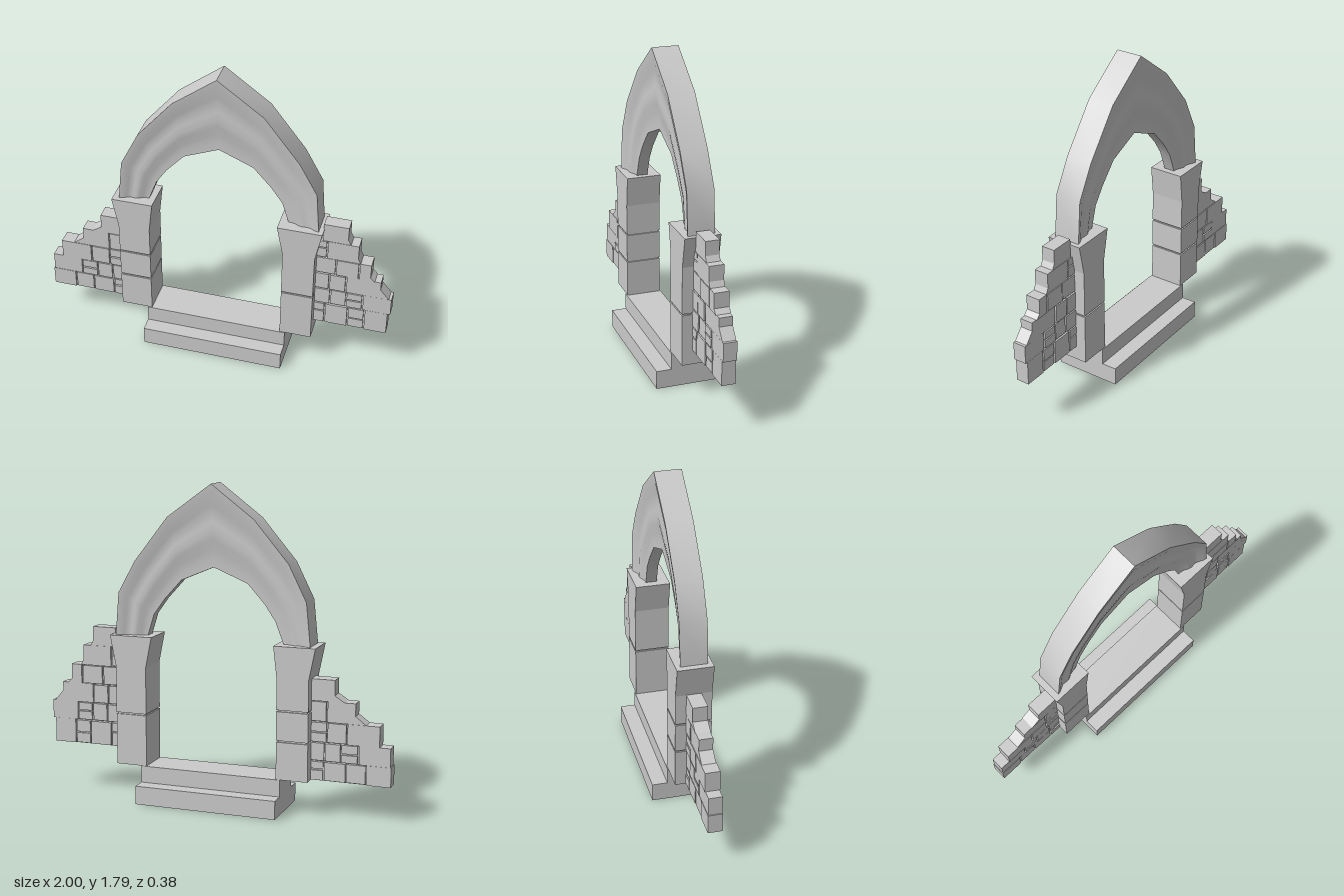
import * as THREE from 'three';
import { toCreasedNormals } from 'three/addons/utils/BufferGeometryUtils.js';

const stone = new THREE.MeshStandardMaterial({ color: 0xcccccc });

function add(parent, name, geometry) {
  const mesh = new THREE.Mesh(geometry, stone);
  mesh.name = name;
  parent.add(mesh);
  return mesh;
}

// Box given by its limits, centred on z = 0
function block(parent, name, x0, x1, y0, y1, depth) {
  const mesh = add(parent, name, new THREE.BoxGeometry(x1 - x0, y1 - y0, depth));
  mesh.position.set((x0 + x1) / 2, (y0 + y1) / 2, 0);
}

// Outline in x and y, extruded symmetrically along z
function slab(parent, name, points, depth) {
  const shape = new THREE.Shape(points.map(([x, y]) => new THREE.Vector2(x, y)));
  const geometry = new THREE.ExtrudeGeometry(shape, { depth, bevelEnabled: false });
  add(parent, name, geometry.translate(0, 0, -depth / 2));
}

function seeded(seed) {
  return () => (seed = (seed * 16807) % 2147483647) / 2147483647;
}

// Column of stacked stones with thin recessed joints, topped by a flared capital
function createColumn(name, x0, x1, joints, capX0, capX1) {
  const group = new THREE.Group();
  group.name = name;
  for (let i = 0; i < joints.length - 1; i++) {
    block(group, 'columnStone', x0, x1, joints[i], joints[i + 1] - 0.009, 0.2);
  }
  block(group, 'columnCore', x0 + 0.008, x1 - 0.008, 0.21, 0.8, 0.184);
  slab(group, 'capital', [[x0, 0.765], [x1, 0.765], [capX1, 0.94], [capX0, 0.94]], 0.2);
  return group;
}

// Pointed arch: a moulded section carried along matching outer and inner curves
function archGeometry() {
  const outer = [[-0.555, 0.93], [-0.53, 1.18], [-0.43, 1.38], [-0.235, 1.61], [0.01, 1.795],
    [0.265, 1.61], [0.46, 1.36], [0.56, 1.18], [0.58, 0.93]];
  const inner = [[-0.395, 0.93], [-0.345, 1.06], [-0.285, 1.15], [-0.185, 1.26], [0.01, 1.34],
    [0.2, 1.26], [0.3, 1.15], [0.365, 1.06], [0.405, 0.93]];
  // Position from outer to inner edge, and half depth there
  const face = [[0, 0.075], [0.12, 0.07], [0.25, 0.058], [0.36, 0.051], [0.45, 0.052],
    [0.56, 0.054], [0.66, 0.049], [0.78, 0.038], [0.9, 0.033], [1, 0.032]];
  const section = [...face, ...face.map(([t, z]) => [t, -z]).reverse()];
  const n = section.length;
  const positions = [];
  const index = [];
  outer.forEach(([ox, oy], i) => {
    const [ix, iy] = inner[i];
    section.forEach(([t, z], j) => {
      positions.push(ox + (ix - ox) * t, oy + (iy - oy) * t, z);
      if (i === outer.length - 1) return;
      const a = i * n + j;
      const b = i * n + (j + 1) % n;
      index.push(a, b, a + n, b, b + n, a + n);
    });
  });
  const geometry = new THREE.BufferGeometry();
  geometry.setAttribute('position', new THREE.Float32BufferAttribute(positions, 3));
  geometry.setIndex(index);
  return toCreasedNormals(geometry, 0.6);
}

// Ruined wall; each row is [bottom, top, outer x at bottom, outer x at top, height where its slope ends, start x]
function createWall(name, side, rows, seed) {
  const group = new THREE.Group();
  group.name = name;
  const random = seeded(seed);
  const gap = 0.004;
  const brick = (points) => slab(group, 'brick', points.map(([x, y]) => [side * x, y]), 0.074 + random() * 0.01);
  const rect = (x0, x1, y0, y1) => brick([[x0, y0], [x1, y0], [x1, y1], [x0, y1]]);
  for (const [y0, y1, xBottom, xTop, yMid = y0, start = 0.55] of rows) {
    const top = y1 - gap;
    // Recessed mortar behind the row
    const xs = [side * start, side * (xTop - 0.01)].sort((a, b) => a - b);
    block(group, 'mortar', xs[0], xs[1], y0, y1 - 0.006, 0.058);
    let x = start;
    while (xTop - x > 0.19) {
      const split = random() < 0.35;
      const width = split ? 0.075 + random() * 0.025 : 0.085 + random() * 0.05;
      const mid = y0 + (y1 - y0) * (0.4 + random() * 0.2);
      if (split) {
        rect(x, x + width - gap * 2, y0 + gap, mid - gap);
        rect(x, x + width - gap * 2, mid + gap, top);
      } else {
        rect(x, x + width - gap * 2, y0 + gap, top);
      }
      x += width;
    }
    // Outer brick, broken along its sloping corner
    const end = [[x, y0], [xBottom, y0]];
    if (yMid > y0) end.push([xTop, yMid]);
    end.push([xTop, y1], [x, y1]);
    brick(end);
  }
  return group;
}

export function createModel() {
  const model = new THREE.Group();
  model.name = 'ruinedArchway';

  // Steps
  block(model, 'lowerStep', -0.4, 0.42, 0, 0.105, 0.38);
  block(model, 'upperStep', -0.4, 0.42, 0.105, 0.2, 0.21);

  // Columns and arch
  model.add(createColumn('rightColumn', -0.555, -0.375, [0.2, 0.42, 0.59, 0.774], -0.59, -0.355));
  model.add(createColumn('leftColumn', 0.39, 0.57, [0.2, 0.5, 0.774], 0.355, 0.605));
  add(model, 'pointedArch', archGeometry());

  // Broken walls
  model.add(createWall('rightWall', -1, [
    [0.2, 0.31, 1, 1],
    [0.31, 0.415, 0.995, 0.995],
    [0.415, 0.53, 0.935, 0.935],
    [0.53, 0.645, 0.86, 0.8, 0.575],
    [0.645, 0.765, 0.74, 0.685, 0.68],
  ], 17));
  model.add(createWall('leftWall', 1, [
    [0.28, 0.42, 0.985, 0.985],
    [0.42, 0.525, 1, 1],
    [0.525, 0.635, 0.985, 0.935, 0.585],
    [0.635, 0.745, 0.9, 0.875, 0.66],
    [0.745, 0.86, 0.815, 0.8, 0.775],
    [0.86, 0.97, 0.755, 0.738, 0.89, 0.6],
  ], 41));

  return model;
}
